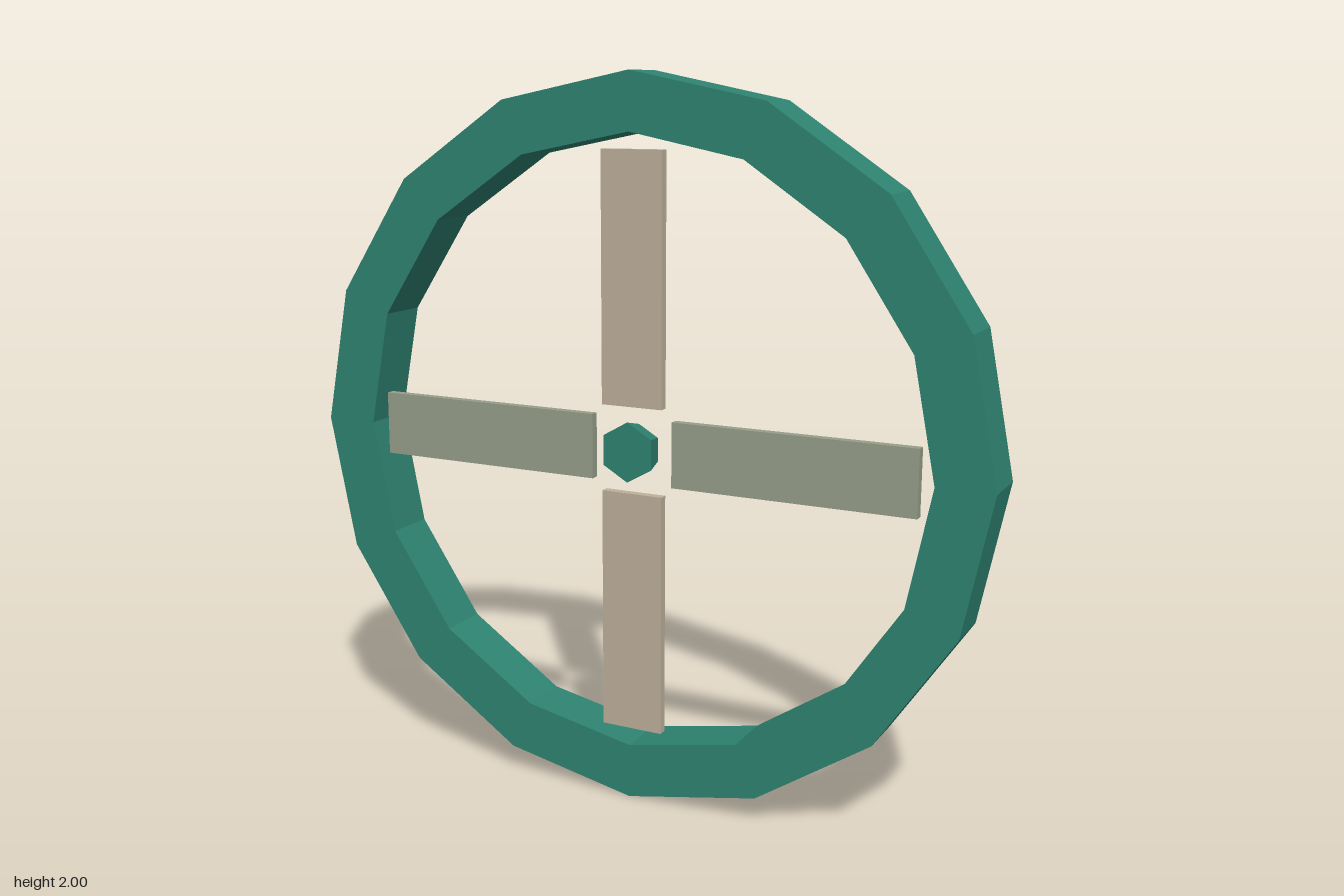
import * as THREE from 'three';

const flat = (color, name) => {
  const m = new THREE.MeshStandardMaterial({ color });
  m.name = name;
  m.flatShading = true;
  return m;
};

// Regular polygon with its first vertex on +x
const polygon = (Type, radius, sides) => new Type(
  Array.from({ length: sides }, (_, i) => {
    const a = (i / sides) * Math.PI * 2;
    return new THREE.Vector2(radius * Math.cos(a), radius * Math.sin(a));
  })
);

export function createModel() {
  const green = flat(0x2f8371, 'green');
  const tan = flat(0xbeb19c, 'tan');
  const olive = flat(0x969f8a, 'olive');

  const model = new THREE.Group();
  model.name = 'wheel';
  const add = (parent, geometry, material, name) => {
    const mesh = new THREE.Mesh(geometry, material);
    mesh.name = name;
    parent.add(mesh);
    return mesh;
  };

  // Sixteen-sided rim with square edges
  const rimShape = polygon(THREE.Shape, 1, 16);
  rimShape.holes.push(polygon(THREE.Path, 0.845, 16));
  const rim = add(model, new THREE.ExtrudeGeometry(rimShape, { depth: 0.15, bevelEnabled: false }), green, 'rim');
  rim.position.set(0, 1, -0.08);

  // Six-sided hub, slightly narrower at the back
  const hubGeometry = new THREE.CylinderGeometry(0.083, 0.066, 0.07, 6);
  hubGeometry.rotateX(Math.PI / 2);
  const hub = add(model, hubGeometry, green, 'hub');
  hub.position.set(0, 1, 0.045);

  // Four floating spokes, each with a raised rib on its back
  for (let i = 0; i < 4; i++) {
    const spoke = new THREE.Group();
    spoke.name = 'spoke';
    spoke.position.y = 1;
    spoke.rotation.z = (i * Math.PI) / 2;
    const panel = add(spoke, new THREE.BoxGeometry(0.68, 0.18, 0.025), i % 2 ? tan : olive, 'spokePanel');
    panel.position.set(0.46, 0, 0.0425);
    const rib = add(spoke, new THREE.BoxGeometry(0.51, 0.04, 0.016), green, 'spokeRib');
    rib.position.set(0.46, 0, 0.026);
    model.add(spoke);
  }
  return model;
}
